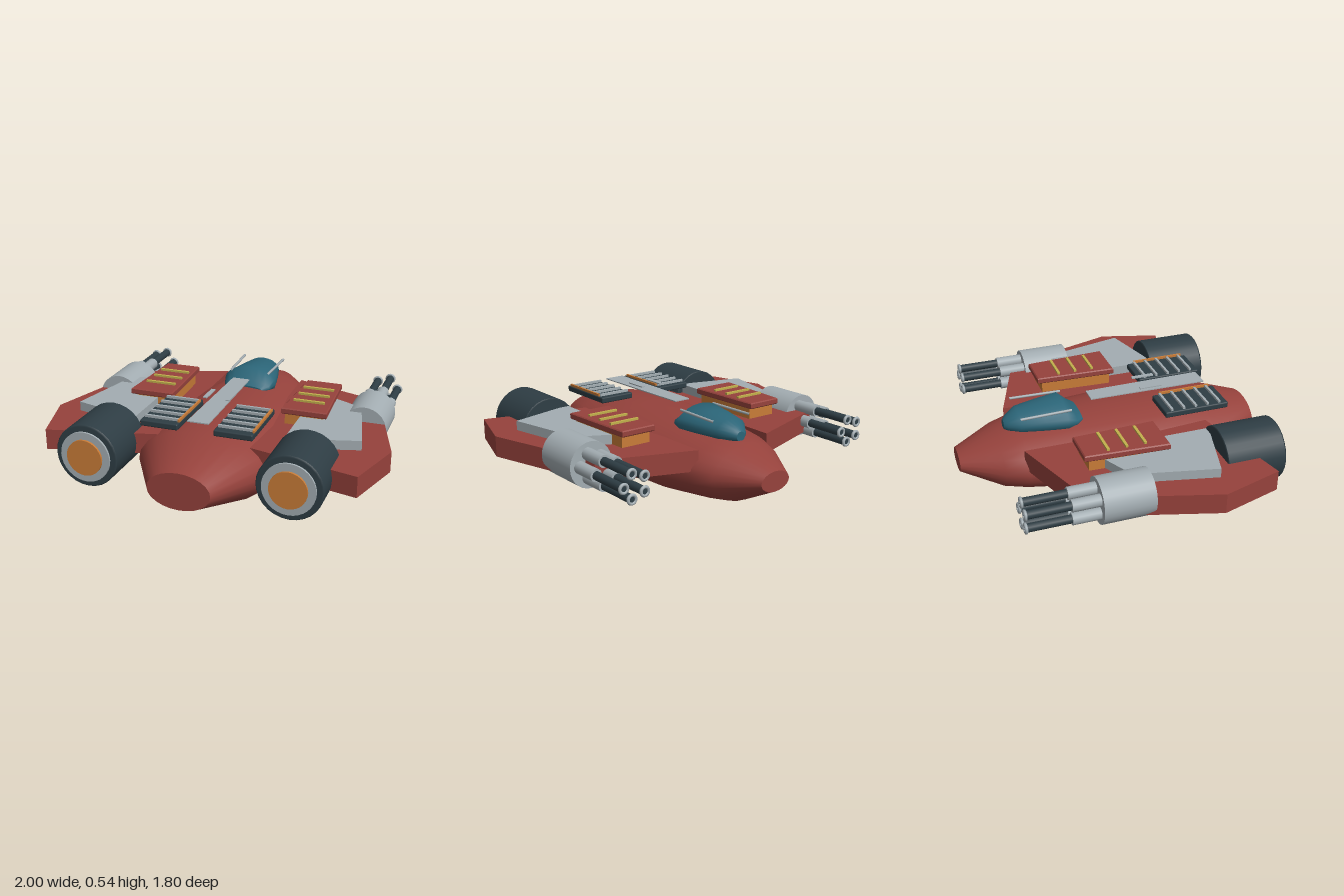
import * as THREE from 'three';
import { RoundedBoxGeometry } from 'three/addons/geometries/RoundedBoxGeometry.js';

const mat = (name, color, side = THREE.FrontSide) => {
  const m = new THREE.MeshStandardMaterial({ color, side });
  m.name = name;
  return m;
};

// Skin over elliptical sections [z, halfWidth, bottom, top], with flat end caps
function loft(sections, n) {
  const pos = [], idx = [];
  const ring = ([z, w, lo, hi]) => {
    const start = pos.length / 3;
    for (let j = 0; j < n; j++) {
      const a = (j / n) * Math.PI * 2;
      pos.push(w * Math.cos(a), (lo + hi) / 2 + ((hi - lo) / 2) * Math.sin(a), z);
    }
    return start;
  };
  const starts = sections.map(ring);
  for (let i = 0; i < starts.length - 1; i++) {
    for (let j = 0; j < n; j++) {
      const k = (j + 1) % n, p = starts[i], q = starts[i + 1];
      idx.push(p + j, p + k, q + j, p + k, q + k, q + j);
    }
  }
  [sections[0], sections[sections.length - 1]].forEach((s, end) => {
    const r = ring(s);
    for (let j = 1; j < n - 1; j++) {
      if (end) idx.push(r, r + j, r + j + 1);
      else idx.push(r, r + j + 1, r + j);
    }
  });
  const g = new THREE.BufferGeometry();
  g.setAttribute('position', new THREE.Float32BufferAttribute(pos, 3));
  g.setIndex(idx);
  g.computeVertexNormals();
  return g;
}

// Horizontal plate from an [x, z] outline, mirrored by side
function plate(outline, bottom, top, side = 1, bevel = 0) {
  const shape = new THREE.Shape(outline.map(([x, z]) => new THREE.Vector2(x * side, z)));
  const g = new THREE.ExtrudeGeometry(shape, {
    depth: top - bottom - 2 * bevel, bevelEnabled: bevel > 0,
    bevelSize: bevel, bevelOffset: -bevel, bevelThickness: bevel, bevelSegments: 1,
  });
  return g.rotateX(Math.PI / 2).translate(0, top - bevel, 0);
}

// Cylinder lying along z
const tubeZ = (r, z0, z1, n = 24) =>
  new THREE.CylinderGeometry(r, r, z1 - z0, n).rotateX(Math.PI / 2).translate(0, 0, (z0 + z1) / 2);

export function createModel() {
  const model = new THREE.Group();
  model.name = 'gunship';
  const red = mat('hull red', 0x96423c);
  const grey = mat('light grey', 0xa3adb2);
  const dark = mat('dark slate', 0x2e3d44);
  const orange = mat('orange', 0xc97c38);
  const teal = mat('canopy teal', 0x2b6578);
  const yellow = mat('yellow', 0xc2b04c);

  const add = (parent, name, geometry, material, x = 0, y = 0, z = 0) => {
    const m = new THREE.Mesh(geometry, material);
    m.name = name;
    m.position.set(x, y, z);
    parent.add(m);
    return m;
  };

  // Fuselage and canopy
  add(model, 'fuselage', loft([
    [-0.9, 0.1, 0.17, 0.285], [-0.67, 0.245, 0.055, 0.375], [-0.54, 0.3, 0.035, 0.4],
    [-0.25, 0.355, 0.002, 0.425], [0.2, 0.405, 0, 0.435], [0.57, 0.375, 0.01, 0.425],
    [0.9, 0.18, 0.12, 0.335],
  ], 24), red);
  add(model, 'canopy', loft([
    [-0.62, 0.03, 0.38, 0.435], [-0.6, 0.055, 0.37, 0.455], [-0.535, 0.105, 0.35, 0.495],
    [-0.4, 0.14, 0.34, 0.51], [-0.27, 0.165, 0.33, 0.522], [-0.21, 0.145, 0.37, 0.46],
    [-0.17, 0.11, 0.39, 0.435],
  ], 20), teal);

  // Spine strip with its small side tabs
  add(model, 'spineStrip', plate(
    [[-0.052, -0.1], [0.052, -0.1], [0.062, 0.61], [-0.062, 0.61]], 0.499, 0.505), grey);
  for (const s of [-1, 1]) {
    add(model, 'spineTab', new THREE.BoxGeometry(0.025, 0.006, 0.135), grey, s * 0.067, 0.533, 0.262);
  }

  // Roof vents: slatted boxes with an orange trim on one edge
  for (const x of [-0.213, 0.213]) {
    const vent = new THREE.Group();
    vent.name = 'roofVent';
    vent.position.x = x;
    model.add(vent);
    add(vent, 'ventBox', new RoundedBoxGeometry(0.22, 0.036, 0.39, 2, 0.008), dark, 0, 0.473, 0.455);
    for (let i = 0; i < 5; i++) {
      add(vent, 'ventSlat', new THREE.BoxGeometry(0.2, 0.016, 0.014), grey, 0, 0.497, 0.302 + i * 0.074);
    }
    add(vent, 'ventTrim', new THREE.BoxGeometry(0.012, 0.014, 0.32), orange, 0.105, 0.499, 0.46);
  }

  for (const s of [-1, 1]) {
    // Wing and its inset plate
    add(model, 'wing', plate([[0.25, -0.56], [0.79, -0.37], [1, 0.33], [0.895, 0.685], [0.25, 0.53]],
      0.243, 0.363, s), red);
    add(model, 'wingPlate', plate([[0.44, -0.25], [0.74, -0.1], [0.845, 0.365], [0.44, 0.475]],
      0.355, 0.418, s), grey);

    // Raised armour panel on an orange base, with yellow bars
    add(model, 'armourBase', plate([[0.37, -0.28], [0.555, -0.28], [0.575, 0.15], [0.35, 0.15]],
      0.35, 0.432, s), orange);
    add(model, 'armourPanel', plate([[0.355, -0.31], [0.572, -0.31], [0.6, 0.175], [0.335, 0.175]],
      0.43, 0.467, s, 0.006), red);
    for (const z of [-0.17, -0.063, 0.045]) {
      add(model, 'armourBar', new THREE.BoxGeometry(0.185, 0.018, 0.016), yellow, s * 0.463, 0.47, z);
    }

    // Thin rail beside the canopy
    const path = new THREE.LineCurve3(
      new THREE.Vector3(s * 0.13, 0.494, -0.545), new THREE.Vector3(s * 0.119, 0.494, -0.24));
    add(model, 'canopyRail', new THREE.TubeGeometry(path, 1, 0.008, 8), grey);

    // Engine with nozzle ring and glowing core
    const engine = new THREE.Group();
    engine.name = 'engine';
    engine.position.set(s * 0.574, 0.304, 0);
    model.add(engine);
    add(engine, 'engineCasing', new THREE.LatheGeometry(
      [[0, 0.458], [0.176, 0.458], [0.182, 0.464], [0.182, 0.464], [0.182, 0.806], [0.182, 0.806],
        [0.174, 0.815], [0, 0.815]].map(([r, z]) => new THREE.Vector2(r, z)), 28)
      .rotateX(Math.PI / 2), dark);
    add(engine, 'nozzleRing', tubeZ(0.146, 0.8, 0.827, 32), grey);
    add(engine, 'nozzleCore', tubeZ(0.104, 0.81, 0.84, 28), orange);

    // Five-barrelled gun
    const gun = new THREE.Group();
    gun.name = 'gun';
    gun.position.set(s * 0.774, 0.322, 0);
    model.add(gun);
    add(gun, 'gunHousing', tubeZ(0.13, -0.31, -0.02, 28), grey);
    for (let i = 0; i < 5; i++) {
      const a = (i / 5) * Math.PI * 2;
      const x = 0.07 * Math.cos(a), y = 0.07 * Math.sin(a);
      add(gun, 'barrelSleeve', tubeZ(0.035, -0.468, -0.3, 14), grey, x, y);
      add(gun, 'barrel', tubeZ(0.024, -0.715, -0.46, 14), dark, x, y);
      add(gun, 'muzzleRing', new THREE.TorusGeometry(0.023, 0.009, 8, 16), grey, x, y, -0.712);
    }
  }
  return model;
}
